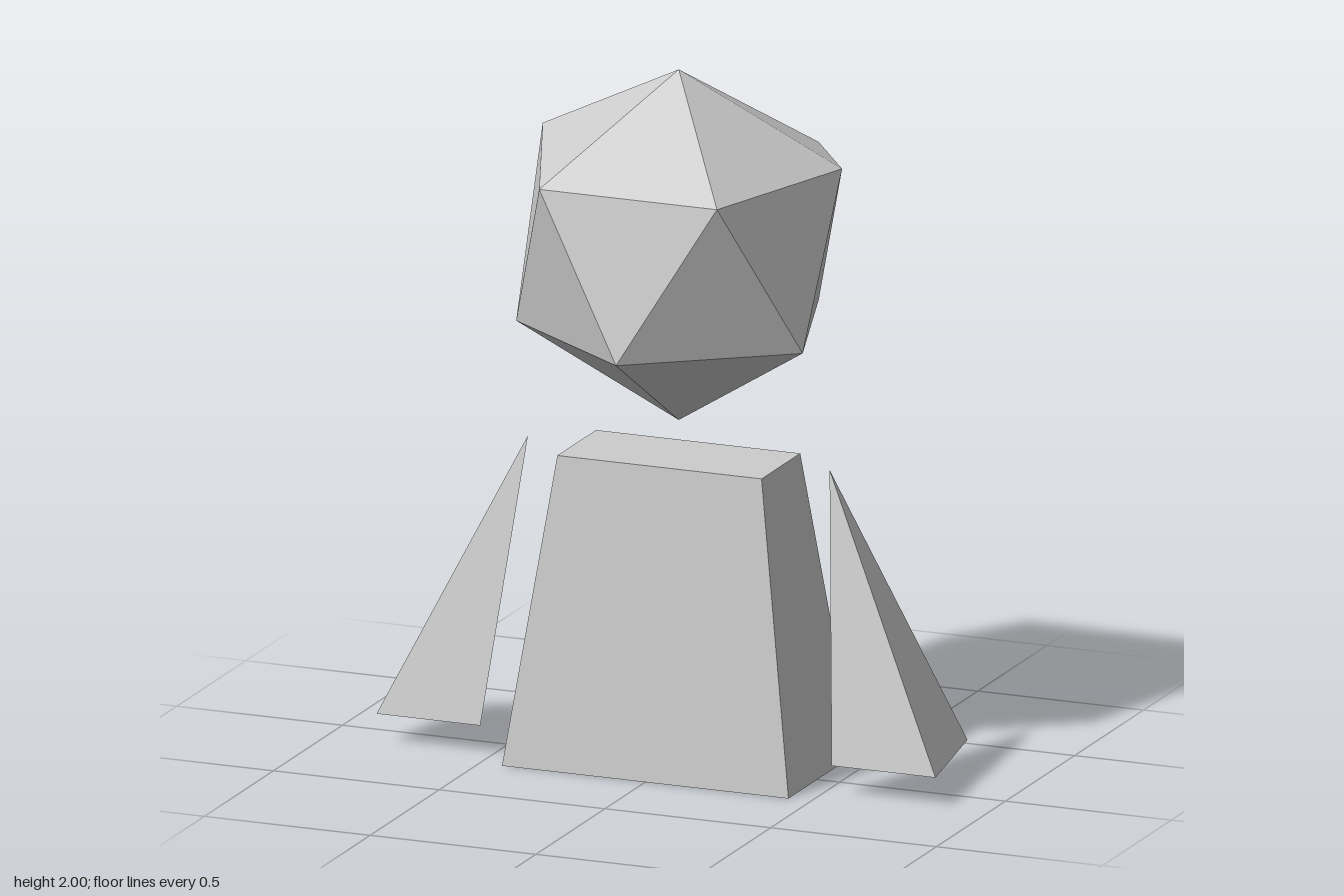
import * as THREE from 'three';
import { ConvexGeometry } from 'three/addons/geometries/ConvexGeometry.js';

const CENTRE_Z = -0.035;

export function createModel() {
  const model = new THREE.Group();
  model.name = 'figure';
  const grey = new THREE.MeshStandardMaterial({ color: 0xcccccc, flatShading: true });
  grey.name = 'stone grey';

  const add = (name, geometry) => {
    const mesh = new THREE.Mesh(geometry, grey);
    mesh.name = name;
    model.add(mesh);
    return mesh;
  };
  const hull = (points) => new ConvexGeometry(points.map((p) => new THREE.Vector3(...p)));

  // Head: faceted ball with its back sliced flat
  add('head', hull([
    [0, 2, CENTRE_Z],
    // upper ring
    [-0.268, 1.72, 0.332], [0.268, 1.72, 0.332], [0.43, 1.72, -0.185],
    [0.265, 1.72, -0.412], [-0.302, 1.72, -0.422], [-0.465, 1.76, -0.166],
    // lower ring
    [0, 1.262, 0.42], [0.432, 1.262, 0.105], [0.265, 1.262, -0.412],
    [-0.295, 1.264, -0.418], [-0.432, 1.262, 0.105],
    [0, 0.985, CENTRE_Z],
  ]));

  // Torso: box that narrows towards the shoulders
  const torso = new THREE.BoxGeometry(0.864, 0.885, 0.486);
  const pos = torso.attributes.position;
  for (let i = 0; i < pos.count; i++) {
    if (pos.getY(i) > 0) {
      pos.setX(i, Math.sign(pos.getX(i)) * 0.308);
      pos.setZ(i, Math.sign(pos.getZ(i)) * 0.14);
    }
  }
  torso.translate(0, 0.4425, CENTRE_Z);
  torso.computeVertexNormals();
  add('torso', torso);

  // Arms: mirrored three-sided spikes
  for (const [name, side] of [['leftArm', 1], ['rightArm', -1]]) {
    add(name, hull([
      [side * 0.455, 0.89, CENTRE_Z],
      [side * 0.53, 0.085, 0.13],
      [side * 0.843, 0.085, 0.13],
      [side * 0.778, 0.085, -0.258],
    ]));
  }
  return model;
}
